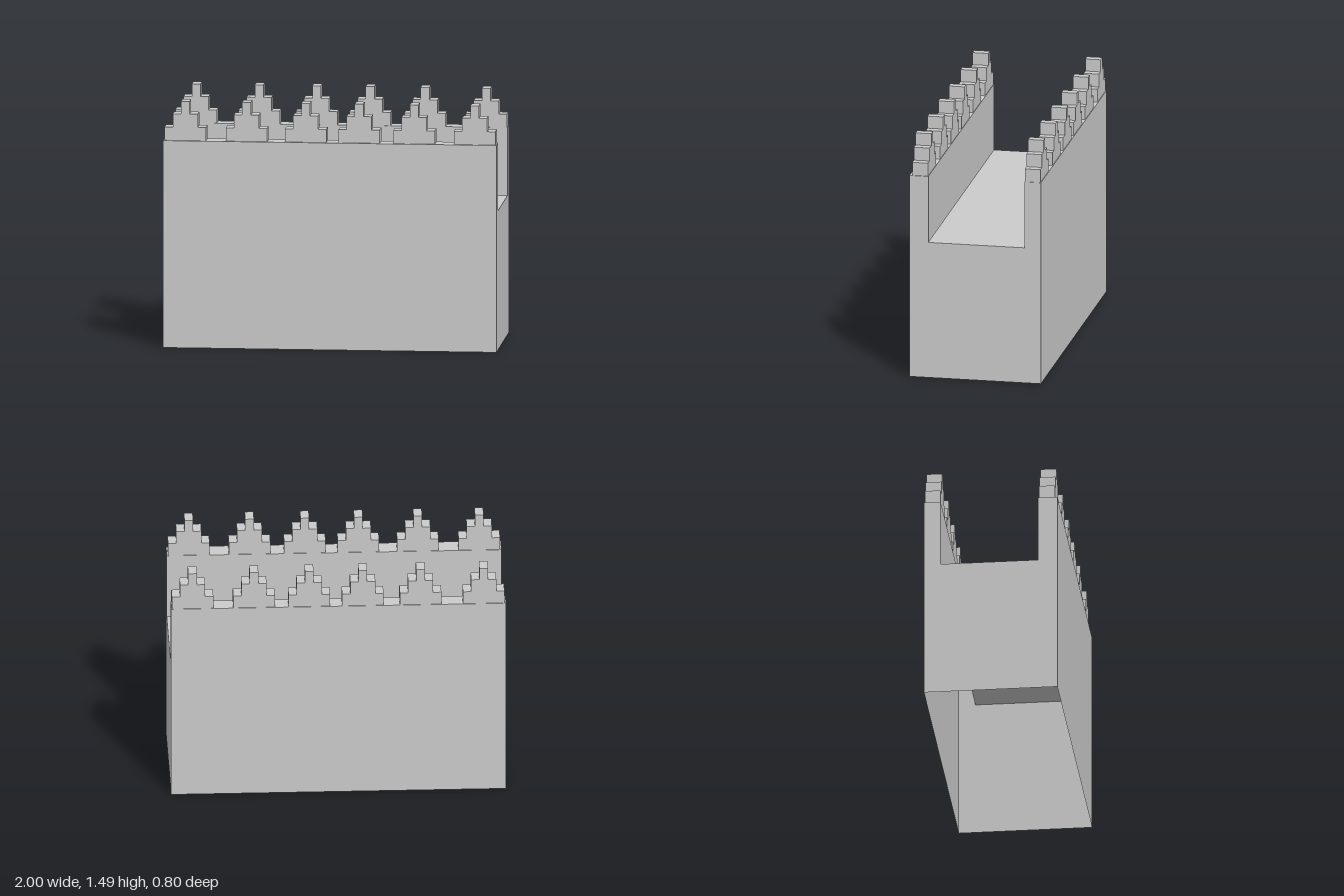
import * as THREE from 'three';

const material = new THREE.MeshStandardMaterial({ color: 0xcccccc, flatShading: true, side: THREE.DoubleSide });

// Cross-section of the wall as [z, y], open along the bottom
const PROFILE = [
  [0.4, 0], [0.4, 1.25], [0.285, 1.25], [0.285, 0.84],
  [-0.3, 0.84], [-0.3, 1.25], [-0.4, 1.25], [-0.4, 0],
];

function addMesh(parent, name, geometry) {
  const mesh = new THREE.Mesh(geometry, material);
  mesh.name = name;
  parent.add(mesh);
  return mesh;
}

// Sweep the open profile along x
function shellGeometry(halfLength) {
  const positions = [];
  for (let i = 0; i < PROFILE.length - 1; i++) {
    const [z0, y0] = PROFILE[i];
    const [z1, y1] = PROFILE[i + 1];
    const a = [-halfLength, y0, z0], b = [halfLength, y0, z0];
    const c = [halfLength, y1, z1], d = [-halfLength, y1, z1];
    positions.push(...a, ...b, ...c, ...a, ...c, ...d);
  }
  const geometry = new THREE.BufferGeometry();
  geometry.setAttribute('position', new THREE.Float32BufferAttribute(positions, 3));
  geometry.computeVertexNormals();
  return geometry;
}

// Stepped merlon outline, three tiers high, extruded through the parapet
function merlonGeometry(depth) {
  const halfWidths = [0.124, 0.075, 0.026];
  const levels = [1.25, 1.33, 1.41, 1.485];
  const right = halfWidths.flatMap((w, i) => [[w, levels[i]], [w, levels[i + 1]]]);
  const left = right.map(([x, y]) => [-x, y]).reverse();
  const shape = new THREE.Shape([...right, ...left].map(([x, y]) => new THREE.Vector2(x, y)));
  return new THREE.ExtrudeGeometry(shape, { depth, bevelEnabled: false });
}

export function createModel() {
  const model = new THREE.Group();
  model.name = 'battlementWall';

  // Hollow body: outer faces, parapets and walkway
  addMesh(model, 'wallShell', shellGeometry(1));

  // U-shaped end faces
  const endShape = new THREE.Shape(PROFILE.map(([z, y]) => new THREE.Vector2(-z, y)));
  for (const side of [1, -1]) {
    const geometry = new THREE.ShapeGeometry(endShape);
    if (side < 0) geometry.scale(-1, 1, 1);
    if (side < 0) geometry.setIndex([...geometry.index.array].reverse());
    geometry.computeVertexNormals();
    const end = addMesh(model, side > 0 ? 'leftEnd' : 'rightEnd', geometry);
    end.rotation.y = side * Math.PI / 2;
    end.position.x = side;
  }

  // Two rows of stepped merlons
  const rows = [
    { name: 'frontMerlon', z: 0.288, depth: 0.096, centres: [-0.867, -0.5, -0.145, 0.175, 0.505, 0.868] },
    { name: 'backMerlon', z: -0.396, depth: 0.094, centres: [-0.867, -0.49, -0.145, 0.175, 0.505, 0.872] },
  ];
  for (const { name, z, depth, centres } of rows) {
    const geometry = merlonGeometry(depth);
    for (const x of centres) addMesh(model, name, geometry).position.set(x, 0, z);
  }

  return model;
}
